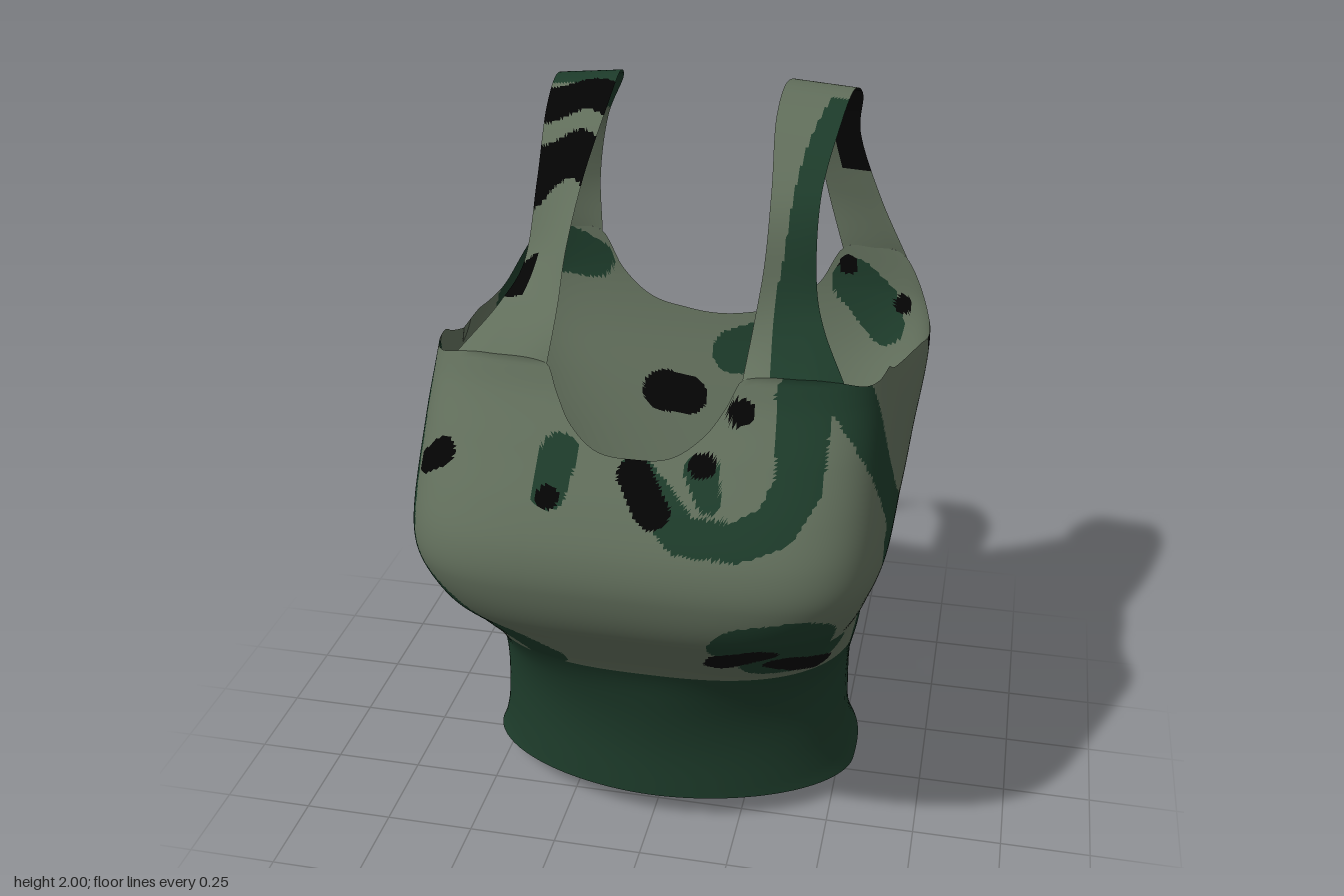
import * as THREE from 'three';

const mat = (name, color) => {
  const m = new THREE.MeshStandardMaterial({ color, side: THREE.DoubleSide });
  m.name = name;
  return m;
};
const materials = [mat('sage', 0x616e5b), mat('darkGreen', 0x1d3b2a), mat('black', 0x040404)];
const SAGE = 0, GREEN = 1, BLACK = 2;
const RAD = Math.PI / 180;

// Smooth interpolation through [x, y] keys, clamped at the ends
function smooth(keys) {
  const slope = i => {
    const a = keys[Math.max(i - 1, 0)], b = keys[Math.min(i + 1, keys.length - 1)];
    return (b[1] - a[1]) / (b[0] - a[0]);
  };
  return x => {
    if (x <= keys[0][0]) return keys[0][1];
    let i = 0;
    while (i < keys.length - 1 && x > keys[i + 1][0]) i++;
    if (i === keys.length - 1) return keys[i][1];
    const [x0, y0] = keys[i], [x1, y1] = keys[i + 1], h = x1 - x0, t = (x - x0) / h;
    const t2 = t * t, t3 = t2 * t;
    return y0 * (2 * t3 - 3 * t2 + 1) + y1 * (3 * t2 - 2 * t3)
      + h * slope(i) * (t3 - 2 * t2 + t) + h * slope(i + 1) * (t3 - t2);
  };
}

// Cross-section by height: half width, front depth, back depth, squareness
const width = smooth([[0.02, 0.56], [0.1, 0.53], [0.2, 0.515], [0.42, 0.515], [0.56, 0.54], [0.7, 0.56],
  [0.85, 0.6], [0.96, 0.63], [1.08, 0.63], [1.27, 0.615], [1.45, 0.59]]);
const front = smooth([[0.05, 0.34], [0.25, 0.34], [0.42, 0.37], [0.56, 0.42], [0.7, 0.53], [0.82, 0.635],
  [0.95, 0.68], [1.05, 0.67], [1.15, 0.615], [1.27, 0.52], [1.38, 0.43], [1.45, 0.39]]);
const back = smooth([[0.01, 0.51], [0.1, 0.47], [0.2, 0.44], [0.29, 0.45], [0.42, 0.41], [0.56, 0.435],
  [0.7, 0.48], [0.95, 0.565], [1.15, 0.635], [1.3, 0.67], [1.45, 0.68]]);
const frontSquare = smooth([[0.1, 1.9], [0.45, 2.05], [0.7, 3.4], [0.95, 4.6], [1.2, 4.6], [1.4, 5.2]]);
const backSquare = smooth([[0.1, 2.8], [0.6, 2.9], [1, 4], [1.3, 7]]);
// Upper hem by angle from the front: neckline, strap root, armhole, strap root, back neckline
const hem = smooth([[-8, 1.28], [0, 1.27], [9, 1.28], [16, 1.33], [20, 1.39], [23, 1.45], [36, 1.46], [42, 1.45],
  [50, 1.43], [66, 1.425], [75, 1.395], [90, 1.355], [110, 1.31], [124, 1.27], [131, 1.29], [138, 1.42], [145, 1.43],
  [151, 1.42], [156, 1.31], [163, 1.23], [172, 1.2], [180, 1.19], [188, 1.2]]);

function bodyPoint(deg, y) {
  const s = Math.sin(deg * RAD), c = Math.cos(deg * RAD);
  const n = c > 0 ? frontSquare(y) : backSquare(y);
  const r = (Math.abs(s) ** n + Math.abs(c) ** n) ** (-1 / n);
  const flare = 1 + 0.155 * Math.max(0, -c) * THREE.MathUtils.smoothstep(y, 0.9, 1.27);
  return new THREE.Vector3(r * s * width(y) * flare, y, r * c * (c > 0 ? front(y) : back(y)));
}

// Grid surface whose faces are sorted into one group per colour
function paintedGrid(name, nu, nv, point, paint, { closed = false, flip = false } = {}) {
  const cols = closed ? nu : nu + 1, pts = [], lists = [[], [], []];
  for (let j = 0; j <= nv; j++) for (let i = 0; i < cols; i++) pts.push(point(i / nu, j / nv));
  const mid = new THREE.Vector3();
  for (let j = 0; j < nv; j++) for (let i = 0; i < nu; i++) {
    const i1 = (i + 1) % cols;
    const a = j * cols + i, b = j * cols + i1, c = (j + 1) * cols + i1, d = (j + 1) * cols + i;
    for (const t of [[a, b, c], [a, c, d]]) {
      mid.copy(pts[t[0]]).add(pts[t[1]]).add(pts[t[2]]).divideScalar(3);
      if (flip) t.reverse();
      lists[paint(mid, (i + 0.5) / nu)].push(...t);
    }
  }
  const geo = new THREE.BufferGeometry().setFromPoints(pts);
  geo.setIndex(lists.flat());
  let start = 0;
  lists.forEach((l, m) => { geo.addGroup(start, l.length, m); start += l.length; });
  geo.computeVertexNormals();
  const mesh = new THREE.Mesh(geo, materials);
  mesh.name = name;
  return mesh;
}

// Camouflage strokes: points of [angle, height, radius]
const greenFront = [
  [[30, 0.8, 0.12], [37, 0.81, 0.13], [38, 0.68, 0.12], [47, 0.66, 0.1]],
  [[35, 1.42, 0.07], [35, 1.24, 0.06], [31, 1.16, 0.055], [24, 1.125, 0.05], [13, 1.13, 0.05], [6, 1.2, 0.05], [1, 1.25, 0.04]],
  [[16, 1.26, 0.045], [18, 1.2, 0.03]],
  [[-17, 1.27, 0.05], [-18, 1.19, 0.045]],
  [[-60, 1.36, 0.06], [-58, 1.15, 0.08], [-53, 0.95, 0.08], [-42, 0.78, 0.08], [-30, 0.6, 0.08]],
];
const greenSides = [
  [[44, 1.43, 0.07], [59, 1.2, 0.065], [73, 1, 0.085], [88, 0.87, 0.09], [104, 0.77, 0.085], [122, 0.72, 0.07]],
  [[64, 1, 0.06], [73, 0.78, 0.06], [79, 0.58, 0.05]],
  [[114, 0.54, 0.06], [126, 0.56, 0.07], [136, 0.58, 0.08]],
  [[122, 0.92, 0.05], [129, 0.94, 0.08], [136, 0.97, 0.085]],
  [[119, 1.07, 0.035], [122, 1.13, 0.035]],
  [[-70, 1.08, 0.12], [-60, 1, 0.1]],
  [[-75, 1.1, 0.08], [-92, 1.0, 0.06], [-108, 0.85, 0.06]],
  [[-104, 1.12, 0.04], [-88, 1.2, 0.05]],
  [[-127, 0.91, 0.13], [-114, 0.87, 0.12], [-116, 0.72, 0.09]],
];
const greenBack = [
  [[175, 1.08, 0.07], [167, 1.1, 0.085]],
  [[163, 0.79, 0.07], [152, 0.79, 0.085]],
  [[142, 1.2, 0.06], [145, 1.26, 0.075], [149, 1.32, 0.07]],
  [[-150, 1.33, 0.06], [-139, 1.38, 0.09], [-130, 1.2, 0.06]],
];
const blackStrokes = [
  [[22, 0.68, 0.04], [25, 0.72, 0.06], [31, 0.76, 0.055]], [[37, 0.68, 0.05], [45, 0.62, 0.05], [52, 0.585, 0.035]],
  [[1, 1.24, 0.045], [6, 1.17, 0.045]], [[16, 1.27, 0.035]], [[23, 1.38, 0.035]], [[-18, 1.18, 0.03]],
  [[-47, 1.19, 0.035], [-42, 1.23, 0.04]], [[-62, 1.36, 0.035]],
  [[100, 0.69, 0.065], [103, 0.57, 0.035]], [[122, 1.27, 0.035]], [[139, 1.27, 0.03]], [[150, 1.37, 0.03]],
  [[-131, 0.9, 0.06], [-127, 0.83, 0.05]], [[-112, 0.94, 0.05], [-111, 0.87, 0.045]], [[-114, 0.69, 0.035]],
  [[-138, 1.52, 0.04], [-140, 1.42, 0.045]],
  [[-173, 0.94, 0.06], [-166, 0.95, 0.065]], [[-178, 0.64, 0.06], [-168, 0.62, 0.085], [-158, 0.6, 0.06]],
];
function strokeDots(strokes) {
  const dots = [];
  for (const s of strokes) s.forEach((p, i) => {
    const q = s[i + 1] || p, n = q === p ? 1 : 8;
    for (let k = 0; k < n; k++) {
      const [deg, y, r] = p.map((v, j) => v + (q[j] - v) * k / n);
      dots.push({ p: bodyPoint(deg, y), r2: r * r });
    }
  });
  return dots;
}
const greenDots = strokeDots([...greenFront, ...greenSides, ...greenBack]);
const blackDots = strokeDots(blackStrokes);
const hit = (dots, p) => dots.some(d => d.p.distanceToSquared(p) < d.r2);
const camo = p => hit(blackDots, p) ? BLACK : hit(greenDots, p) ? GREEN : SAGE;

// inX and outX set how far the rear edges spread
function strap(name, side, inX, outX) {
  const v = (x, y, z) => new THREE.Vector3(x, y, z);
  const at = deg => bodyPoint(deg, hem(deg));
  // Edges of the strap from the front root over the shoulder to the back root
  const inner = new THREE.CatmullRomCurve3([at(23), v(0.255, 1.55, 0.26), v(0.26, 1.66, 0.15), v(0.25, 1.81, -0.01),
    v(0.23, 1.95, -0.2), v(0.235, 2, -0.37), v(0.265, 1.94, -0.53), v(inX - 0.04, 1.8, -0.625), v(inX, 1.6, -0.675), at(151)]);
  const outer = new THREE.CatmullRomCurve3([at(43), v(0.425, 1.53, 0.21), v(0.39, 1.6, 0.1), v(0.378, 1.79, -0.01),
    v(0.4, 1.935, -0.2), v(0.415, 1.985, -0.37), v(0.425, 1.93, -0.52), v(outX - 0.065, 1.8, -0.605), v(outX, 1.6, -0.64), at(137.5)]);
  const point = (s, t) => {
    const p = inner.getPoint(t).lerp(outer.getPoint(t), s);
    // Ease the ends into the curved hem of the body
    const [a, b] = t < 0.5 ? [23, 43] : [151, 137.5];
    const ease = Math.max(0, 1 - Math.min(t, 1 - t) * 7) ** 2;
    const bulge = at(a + (b - a) * s).sub(at(a).lerp(at(b), s));
    p.addScaledVector(bulge, ease);
    p.x *= side;
    return p;
  };
  const paint = (p, s) => {
    const { y, z } = p;
    if (side < 0) {
      // Two wavy dark bands, small spots and a green crest
      const wave = z + 0.02 * Math.sin(s * 5);
      if (y > 1.7 && ((wave > -0.3 && wave < -0.17) || (wave > -0.11 && wave < 0.01))) return BLACK;
      if (z > 0.1 && z < 0.2 && s > 0.7 && y > 1.54) return BLACK;
      if (z < -0.45 && z > -0.56 && s > 0.78 && y > 1.84) return BLACK;
      if (z < -0.3 && y > 1.83) return GREEN;
    } else {
      if (z < -0.45 && y > 1.68 && s > 0.4) return BLACK;
      if (z > -0.3 && s > THREE.MathUtils.clamp(0.45 - z, 0.25, 0.72)) return GREEN;
    }
    return camo(p);
  };
  return paintedGrid(name, 22, 150, point, paint, { flip: side < 0 });
}

export function createModel() {
  const group = new THREE.Group();
  group.name = 'tankTop';

  const bottom = deg => {
    const c = Math.cos(deg * RAD);
    return 0.05 + (c > 0 ? 0.034 : 0.046) * c;
  };
  const seam = deg => 0.525 + 0.035 * Math.cos(deg * RAD);
  const angle = u => u * 360 - 180;

  // Plain waistband
  group.add(paintedGrid('waistband', 140, 30, (u, t) => {
    const d = angle(u);
    return bodyPoint(d, THREE.MathUtils.lerp(bottom(d), seam(d), t));
  }, () => GREEN, { closed: true }));

  // Camouflage bodice
  group.add(paintedGrid('bodice', 420, 110, (u, t) => {
    const d = angle(u);
    return bodyPoint(d, THREE.MathUtils.lerp(seam(d), hem(Math.abs(d)), t));
  }, camo, { closed: true }));

  group.add(strap('leftStrap', 1, 0.32, 0.48), strap('rightStrap', -1, 0.375, 0.54));
  return group;
}
